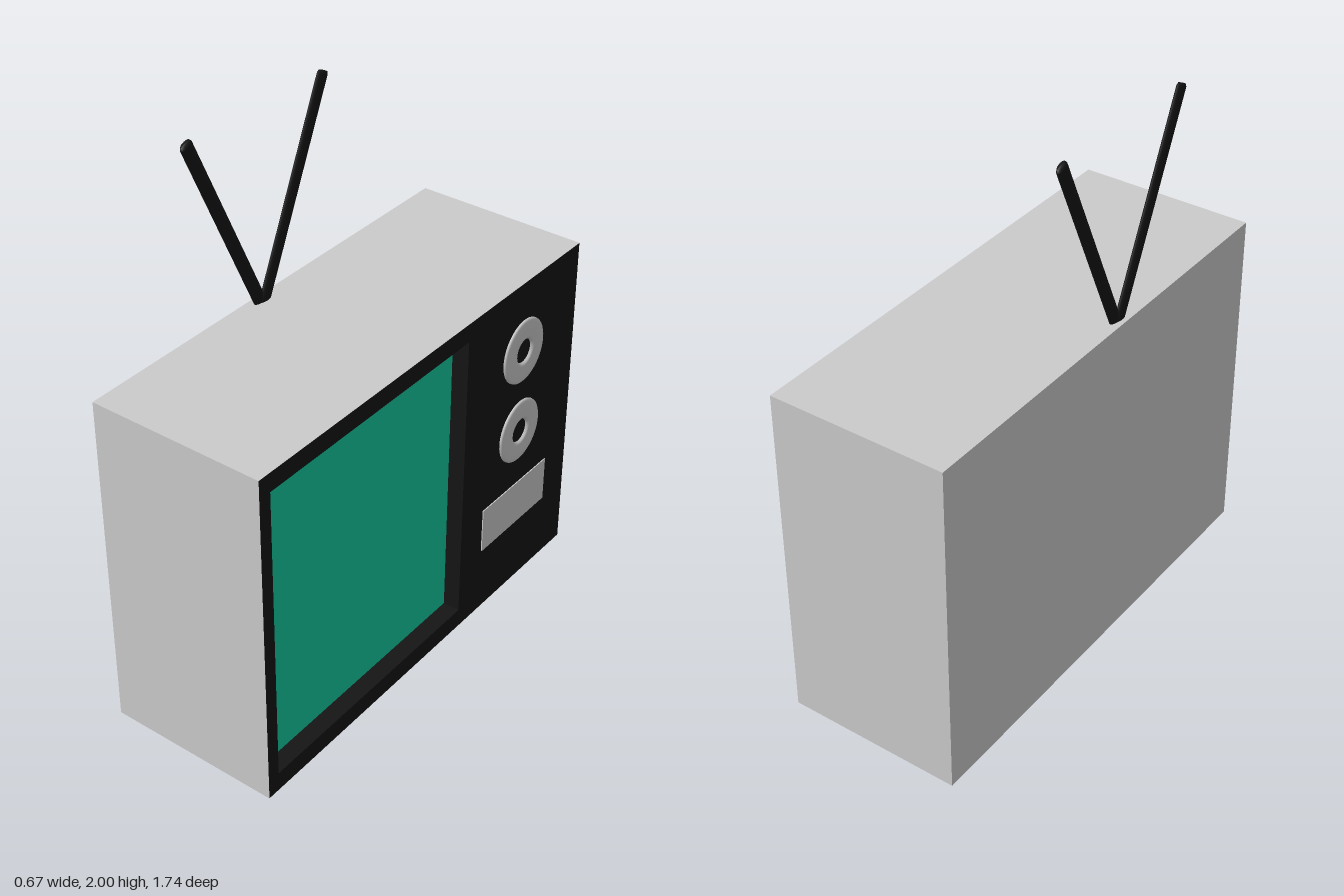
import * as THREE from 'three';

const grey = new THREE.MeshStandardMaterial({ color: 0xcccccc });
const black = new THREE.MeshStandardMaterial({ color: 0x151515 });
const green = new THREE.MeshStandardMaterial({ color: 0x17caa0 });

const FACE = 0.325; // x of the control face
const HEIGHT = 1.29;

function add(group, name, geometry, material, x = 0, y = 0, z = 0) {
  const mesh = new THREE.Mesh(geometry, material);
  mesh.name = name;
  mesh.position.set(x, y, z);
  group.add(mesh);
  return mesh;
}

function rectangle(path, x0, y0, x1, y1) {
  path.moveTo(x0, y0);
  path.lineTo(x1, y0);
  path.lineTo(x1, y1);
  path.lineTo(x0, y1);
  path.closePath();
  return path;
}

export function createModel() {
  const group = new THREE.Group();
  group.name = 'television';

  // Cabinet: a box left open towards +x, where the face frame sits
  const cabinet = new THREE.BoxGeometry(0.66, HEIGHT, 1.74);
  cabinet.setIndex(Array.from(cabinet.index.array).slice(6));
  cabinet.clearGroups();
  add(group, 'cabinet', cabinet, grey, FACE - 0.33, HEIGHT / 2, 0);

  // Face frame with the screen opening (shape x runs along -z)
  const recess = 0.065;
  const outline = rectangle(new THREE.Shape(), -0.869, 0.001, 0.869, HEIGHT - 0.001);
  outline.holes.push(rectangle(new THREE.Path(), -0.82, 0.075, 0.2, 1.22));
  const frame = new THREE.ExtrudeGeometry(outline, { depth: recess, bevelEnabled: false });
  frame.rotateY(Math.PI / 2);
  add(group, 'faceFrame', frame, black, FACE - recess, 0, 0);

  // Recessed screen
  const screen = new THREE.BoxGeometry(0.02, 1.18, 1.06);
  add(group, 'screen', screen, green, FACE - recess - 0.009, 0.6475, 0.31);

  // Ring-shaped dials with softened rims
  const profile = [[0.122, -0.002], [0.121, 0.005], [0.116, 0.009], [0.106, 0.01],
    [0.056, 0.01], [0.048, 0.008], [0.044, -0.002]].map(([r, h]) => new THREE.Vector2(r, h));
  const dial = new THREE.LatheGeometry(profile, 48);
  dial.rotateZ(-Math.PI / 2);
  dial.scale(1, 1.025, 0.985);
  [1.015, 0.68].forEach((y, i) => {
    add(group, i ? 'lowerDial' : 'upperDial', dial, grey, FACE, y, -0.537);
  });

  // Speaker panel
  add(group, 'speakerPanel', new THREE.BoxGeometry(0.008, 0.18, 0.4), grey, FACE, 0.355, -0.53);

  // Flat antenna rods with rounded ends, forming a V
  const antenna = new THREE.Group();
  antenna.name = 'antenna';
  group.add(antenna);
  const rod = (name, x, z) => {
    const foot = new THREE.Vector3(x, 1.27, 0.095);
    const tip = new THREE.Vector3(x, 1.998, z);
    const length = foot.distanceTo(tip);
    const ends = [[0, 0], [0.022, 0], [0.026, 0.006], [0.026, length - 0.012],
      [0.021, length - 0.002], [0, length]].map(([r, h]) => new THREE.Vector2(r, h));
    const geometry = new THREE.LatheGeometry(ends, 20);
    geometry.scale(0.45, 1, 1);
    const mesh = add(antenna, name, geometry, black, foot.x, foot.y, foot.z);
    mesh.rotation.x = Math.atan2(tip.z - foot.z, tip.y - foot.y);
  };
  rod('frontRod', -0.307, 0.427);
  rod('rearRod', -0.302, -0.236);

  return group;
}
